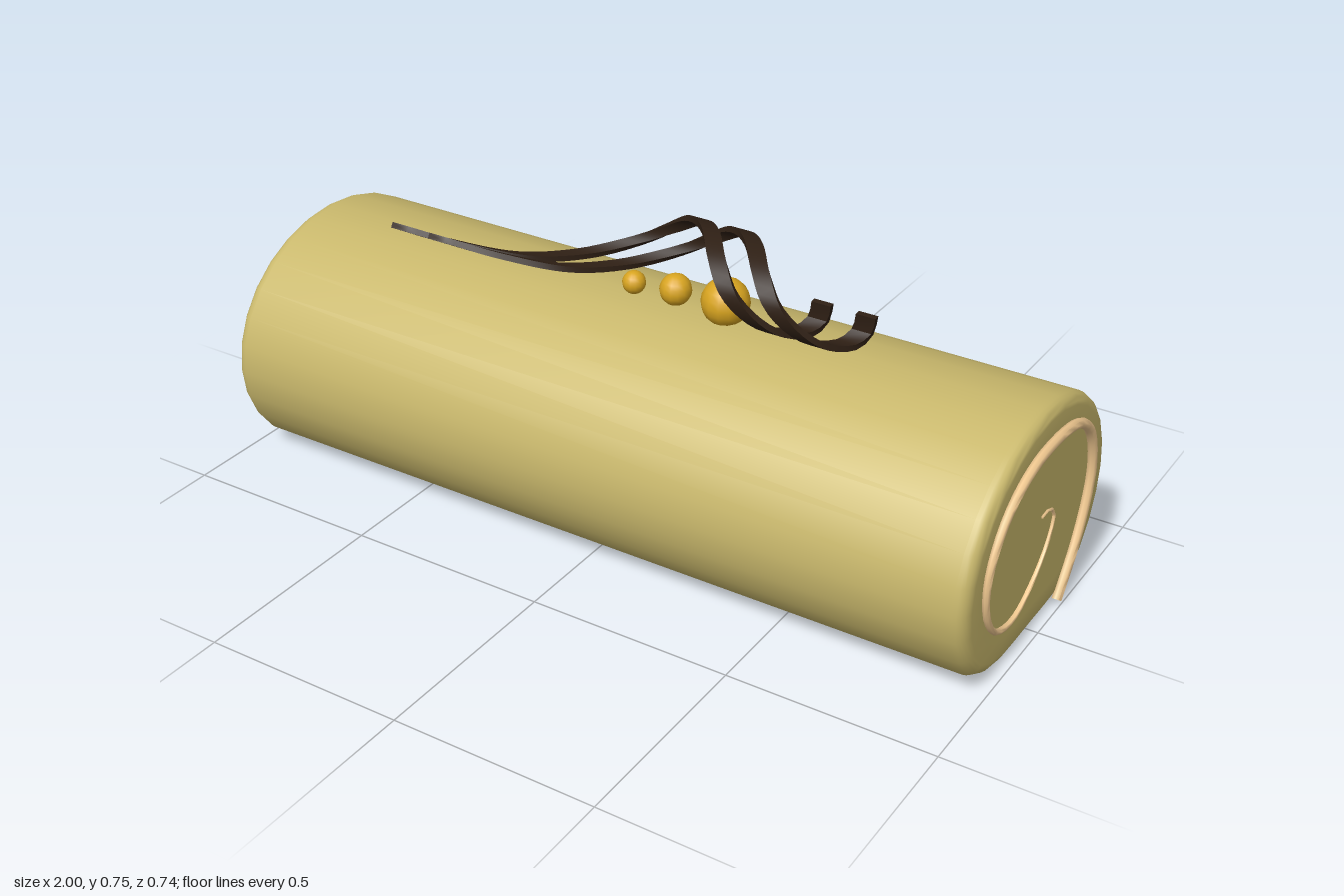
import * as THREE from 'three';
import { toCreasedNormals } from 'three/addons/utils/BufferGeometryUtils.js';

const V = (x, y, z) => new THREE.Vector3(x, y, z);
const mat = (color) => new THREE.MeshStandardMaterial({ color });

// Skin a list of equal rings (counter-clockwise about the direction of travel) and close both ends
function loft(rings, crease) {
  const n = rings[0].length, m = rings.length, pos = [], index = [];
  rings.forEach((ring) => ring.forEach((p) => pos.push(p.x, p.y, p.z)));
  for (let i = 0; i < m - 1; i++) {
    for (let j = 0; j < n; j++) {
      const a = i * n + j, b = i * n + (j + 1) % n;
      index.push(a, b, b + n, a, b + n, a + n);
    }
  }
  [0, m - 1].forEach((r) => {
    const c = V(0, 0, 0);
    rings[r].forEach((p) => c.addScaledVector(p, 1 / n));
    const k = pos.length / 3;
    pos.push(c.x, c.y, c.z);
    for (let j = 0; j < n; j++) {
      const a = r * n + j, b = r * n + (j + 1) % n;
      if (r) index.push(k, a, b);
      else index.push(k, b, a);
    }
  });
  const g = new THREE.BufferGeometry();
  g.setAttribute('position', new THREE.Float32BufferAttribute(pos, 3));
  g.setIndex(index);
  return toCreasedNormals(g, crease);
}

// Sweep a section whose first axis stays parallel to x; section(t) gives [u, v] pairs
function sweep(points, steps, section, crease) {
  const curve = new THREE.CatmullRomCurve3(points);
  const rings = [];
  for (let i = 0; i <= steps; i++) {
    const t = i / steps, p = curve.getPointAt(t);
    const tan = curve.getTangentAt(t).setX(0).normalize();
    const nrm = tan.cross(V(1, 0, 0));
    rings.push(section(t).map(([u, v]) => p.clone().addScaledVector(nrm, v).add(V(u, 0, 0))));
  }
  return loft(rings, crease);
}

export function createModel() {
  const model = new THREE.Group();
  const add = (name, geometry, material) => {
    const mesh = new THREE.Mesh(geometry, material);
    mesh.name = name;
    model.add(mesh);
    return mesh;
  };

  // Sponge roll: ellipse flattened where it rests, with rounded end edges
  const SIDES = 28, BEVEL = 0.03, END = 0.98;
  const base = [0.025, 0.01, 0.008, 0.009];
  const outline = [];
  for (let j = 0; j < SIDES; j++) {
    const a = (j / SIDES) * Math.PI * 2;
    const low = 3 - Math.abs(j - SIDES / 2);
    const y = low >= 0 ? base[low] : 0.25 + 0.31 * Math.cos(a);
    outline.push([y, 0.372 * Math.sin(a)]);
  }
  const ring = (x, s) => outline.map(([y, z]) => V(x, 0.27 + (y - 0.27) * s, z * s));
  const half = [[END, 0.75]];
  for (let k = 0; k <= 5; k++) {
    const a = (k / 5) * Math.PI / 2;
    half.push([END - BEVEL * (1 - Math.cos(a)), 1 - (BEVEL / 0.33) * (1 - Math.sin(a))]);
  }
  const stations = [...half.map(([x, s]) => [-x, s]), ...half.reverse()];
  add('spongeRoll', loft(stations.map(([x, s]) => ring(x, s)), 0.8), mat(0xc9b86c));

  // Cream spiral on both ends, thinning towards the middle; points are [z, y]
  const spiral = [
    [-0.13, 0.012], [-0.205, 0.115], [-0.245, 0.2], [-0.262, 0.27], [-0.258, 0.33],
    [-0.235, 0.39], [-0.195, 0.435], [-0.14, 0.465], [-0.07, 0.48], [0, 0.484],
    [0.07, 0.48], [0.14, 0.462], [0.2, 0.43], [0.25, 0.38], [0.28, 0.32],
    [0.286, 0.265], [0.27, 0.2], [0.225, 0.14], [0.16, 0.112], [0.1, 0.112],
    [0.04, 0.14], [-0.02, 0.185], [-0.06, 0.24], [-0.068, 0.275], [-0.04, 0.3], [0, 0.3],
  ];
  const radius = (t) => 0.012 - 0.009 * THREE.MathUtils.clamp((t - 0.45) / 0.55, 0, 1);
  const circle = (t) => Array.from({ length: 8 }, (_, k) => {
    const a = (k / 8) * Math.PI * 2;
    return [radius(t) * Math.cos(a), radius(t) * Math.sin(a)];
  });
  const cream = mat(0xf0c890);
  for (const side of [1, -1]) {
    const path = spiral.map(([z, y], i) =>
      V(side * (END + 0.65 * radius(i / (spiral.length - 1))), y, z));
    add(side > 0 ? 'leftCreamSpiral' : 'rightCreamSpiral', sweep(path, 60, circle, 0.9), cream);
  }

  // Two curled chocolate ribbons, the second a shifted copy
  const curl = [
    V(-0.62, 0.637, 0.147), V(-0.5, 0.6, 0.085), V(-0.36, 0.57, 0.005), V(-0.25, 0.572, -0.08),
    V(-0.14, 0.61, -0.137), V(-0.05, 0.66, -0.15), V(0.04, 0.717, -0.115), V(0.13, 0.744, -0.03),
    V(0.2, 0.722, 0.055), V(0.25, 0.68, 0.095), V(0.29, 0.64, 0.093), V(0.33, 0.6, 0.065),
    V(0.36, 0.575, 0.02), V(0.385, 0.572, -0.02), V(0.4, 0.593, -0.05), V(0.41, 0.637, -0.046),
  ];
  const strip = () => [[-0.024, -0.007], [0.024, -0.007], [0.024, 0.007], [-0.024, 0.007]];
  const ribbon = sweep(curl, 60, strip, 0.7);
  const chocolate = mat(0x2e1f14);
  [0, 0.11].forEach((x, i) => {
    add('chocolateCurl' + (i + 1), ribbon, chocolate).position.x = x;
  });

  // Three golden beads in a row, growing in size
  const gold = mat(0xd9a520);
  [[-0.055, 0.582, 0.028], [0.058, 0.594, 0.038], [0.19, 0.599, 0.057]].forEach(([x, y, r], i) => {
    add('goldenBead' + (i + 1), new THREE.SphereGeometry(r, 14, 10), gold).position.set(x, y, 0);
  });

  return model;
}
